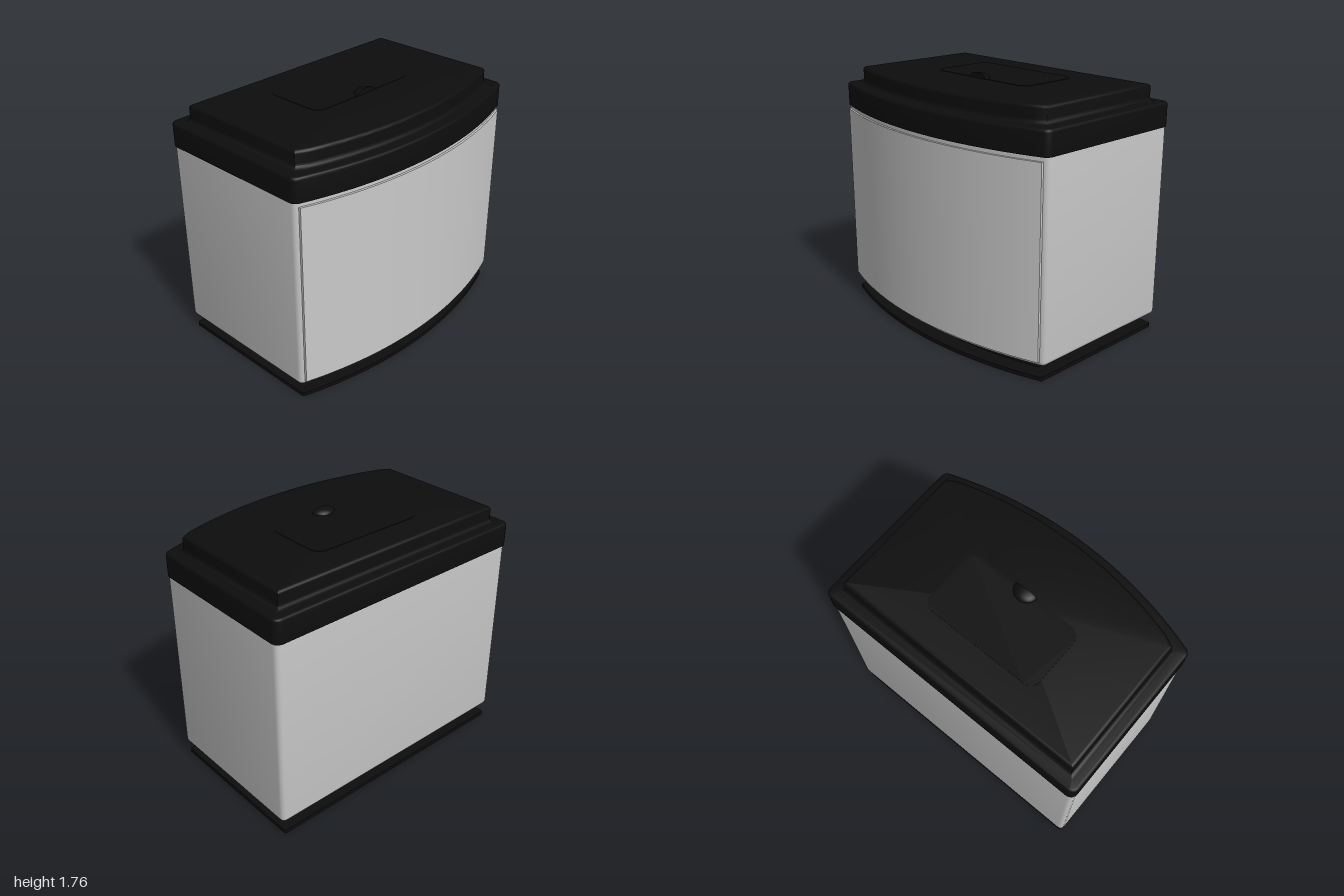
import * as THREE from 'three';
import { toCreasedNormals } from 'three/addons/utils/BufferGeometryUtils.js';

const ARC_RADIUS = 2.85;

// Bow-fronted outline in x/z, inset by d: straight back and sides, gently curved front.
function bowOutline({ w, back, front, r }, d) {
  const R = ARC_RADIUS, pts = [];
  const centreZ = front - R;
  const cx = w - r;
  const cz = centreZ + Math.sqrt((R - r) ** 2 - cx ** 2);
  const frontAngle = Math.atan2(cz - centreZ, cx);
  const rr = Math.max(r - d, 0.004);
  const shrink = d + rr - r;
  const addArc = (x, z, rad, a0, a1, n) => {
    for (let i = 0; i <= n; i++) {
      const a = a0 + (a1 - a0) * i / n;
      pts.push([x + rad * Math.cos(a), z + rad * Math.sin(a)]);
    }
  };
  const k = shrink / Math.cos(frontAngle / 2 - 0) * 0.8;
  addArc(cx - shrink, cz - k, rr, 0, frontAngle, 4);
  // front bow, between the two corner fillets
  const edge = Math.acos(pts[4][0] / (R - d));
  for (let i = 1; i < 24; i++) {
    const a = edge + (Math.PI - 2 * edge) * i / 24;
    pts.push([(R - d) * Math.cos(a), centreZ + (R - d) * Math.sin(a)]);
  }
  addArc(-cx + shrink, cz - k, rr, Math.PI - frontAngle, Math.PI, 4);
  addArc(-cx + shrink, back + r + shrink, rr, Math.PI, Math.PI * 1.5, 4);
  addArc(cx - shrink, back + r + shrink, rr, Math.PI * 1.5, Math.PI * 2, 4);
  return pts;
}

// Stacks inset outlines [inset, y] from bottom to top and caps both ends.
function bowSolid(outline, profile) {
  const pos = [], index = [];
  let n = 0;
  for (const [d, y] of profile) {
    const ring = bowOutline(outline, d);
    n = ring.length;
    for (const [x, z] of ring) pos.push(x, y, z);
  }
  const last = (profile.length - 1) * n;
  const low = pos.length / 3, high = low + 1;
  pos.push(0, profile[0][1], 0, 0, profile[profile.length - 1][1], 0);
  for (let i = 0; i < n; i++) {
    const next = (i + 1) % n;
    for (let j = 0; j < last; j += n) {
      const a = j + i, b = j + next;
      index.push(a, a + n, b, b, a + n, b + n);
    }
    index.push(low, i, next, high, last + next, last + i);
  }
  const g = new THREE.BufferGeometry();
  g.setAttribute('position', new THREE.Float32BufferAttribute(pos, 3));
  g.setIndex(index);
  return toCreasedNormals(g, 0.5);
}

// Quarter-round steps for a profile, centred at (d, y).
function quarter(d, y, r, a0, a1) {
  return Array.from({ length: 5 }, (_, i) => {
    const a = a0 + (a1 - a0) * i / 4;
    return [d + r * Math.cos(a), y + r * Math.sin(a)];
  });
}

export function createModel() {
  const group = new THREE.Group();
  const black = new THREE.MeshStandardMaterial({ color: 0x0d0d0d });
  black.name = 'black plastic';
  const grey = new THREE.MeshStandardMaterial({ color: 0xcacaca });
  grey.name = 'light grey';
  const add = (name, geometry, material) => {
    const mesh = new THREE.Mesh(geometry, material);
    mesh.name = name;
    group.add(mesh);
    return mesh;
  };
  const PI = Math.PI;

  // Foot plate and recessed pedestal
  add('footPlate', bowSolid({ w: 0.97, back: -0.635, front: 0.635, r: 0.012 },
    [[0, 0], [0, 0.027]]), black);
  add('pedestal', bowSolid({ w: 0.865, back: -0.525, front: 0.52, r: 0.012 },
    [[0, 0.02], [0, 0.115]]), black);

  // Tank body with rounded lower edge
  add('body', bowSolid({ w: 0.993, back: -0.65, front: 0.65, r: 0.036 },
    [...quarter(0.035, 0.14, 0.035, PI * 1.5, PI), [0, 1.46]]), grey);

  // Curved front panel, slightly proud of the body
  const edge = Math.acos(0.965 / ARC_RADIUS);
  const strip = new THREE.Shape();
  strip.absarc(0, 0.665 - ARC_RADIUS, ARC_RADIUS, edge, PI - edge, false);
  strip.absarc(0, 0.645 - ARC_RADIUS, ARC_RADIUS, PI - edge, edge, true);
  strip.closePath();
  const panel = new THREE.ExtrudeGeometry(strip, { depth: 1.28, bevelEnabled: false, curveSegments: 24 });
  panel.rotateX(PI / 2);
  add('frontPanel', toCreasedNormals(panel, 0.5), grey).position.y = 1.42;

  // Stepped lid: rim, rounded shoulder, hollow fillet and raised top
  add('lid', bowSolid({ w: 1, back: -0.663, front: 0.66, r: 0.05 }, [
    [0, 1.448],
    ...quarter(0.02, 1.592, 0.02, PI, PI / 2),
    ...quarter(0.065, 1.642, 0.03, -PI / 2, 0),
    ...quarter(0.117, 1.703, 0.022, PI, PI / 2),
  ]), black);

  // Feeding hatch: thin rounded plate on the lid
  const x = 0.435, z0 = -0.355, z1 = 0.11, r = 0.075;
  const plate = new THREE.Shape();
  plate.absarc(x - r, z1 - r, r, 0, PI / 2);
  plate.absarc(-x + r, z1 - r, r, PI / 2, PI);
  plate.absarc(-x + r, z0 + r, r, PI, PI * 1.5);
  plate.absarc(x - r, z0 + r, r, PI * 1.5, PI * 2);
  plate.closePath();
  const hatch = new THREE.ExtrudeGeometry(plate, { depth: 0.006, bevelEnabled: false, curveSegments: 6 });
  hatch.rotateX(PI / 2);
  add('hatch', hatch, black).position.y = 1.728;

  // Finger grip: quarter dome with a flat front
  const dome = add('gripDome', new THREE.SphereGeometry(1, 24, 10, PI, PI, 0, PI / 2), black);
  const face = add('gripFace', new THREE.CircleGeometry(1, 24, 0, PI), black);
  for (const part of [dome, face]) {
    part.position.set(0, 1.722, 0.115);
    part.scale.set(0.085, 0.04, 0.08);
  }
  return group;
}
